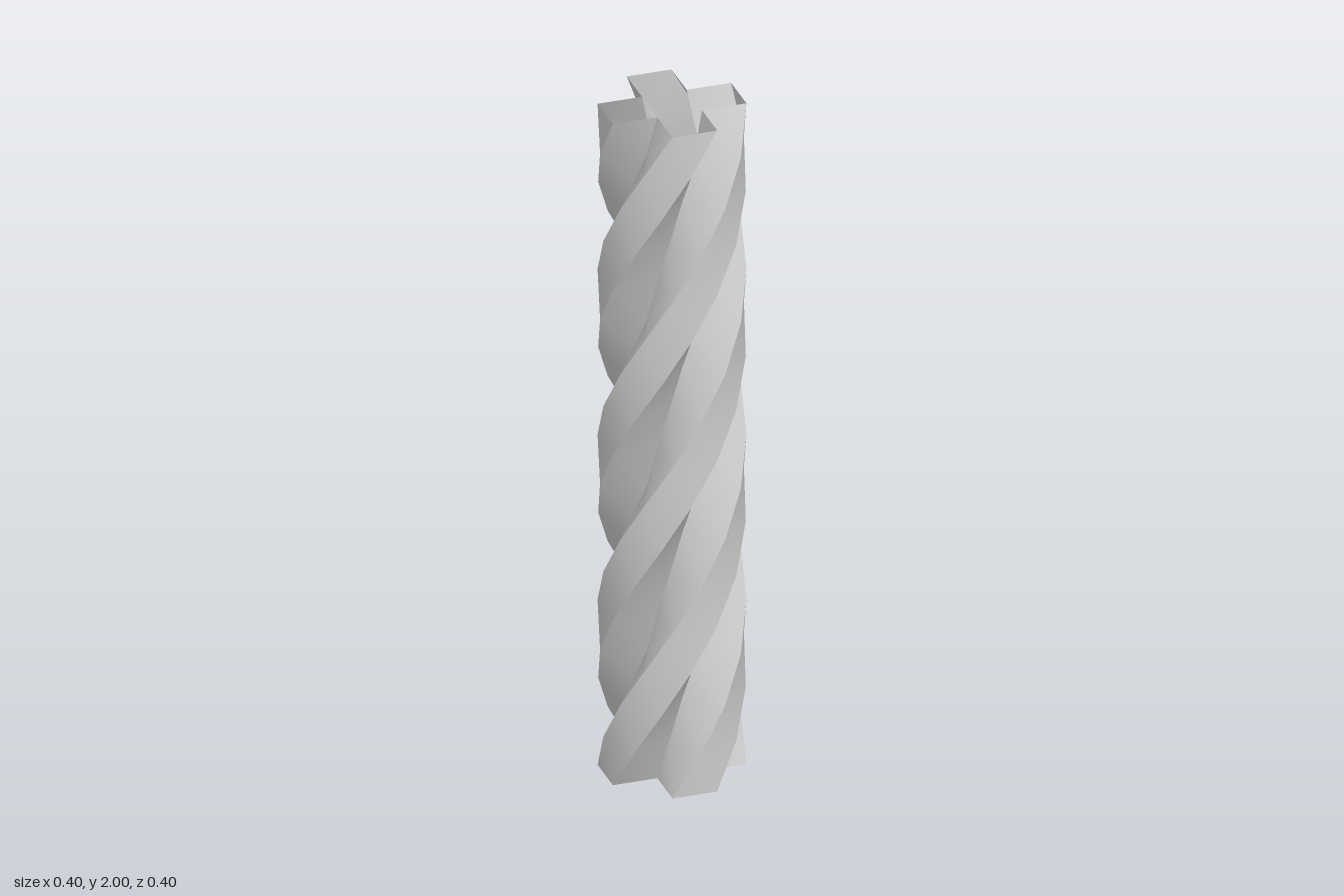
import * as THREE from 'three';

const HEIGHT = 2, STEPS = 16, TWIST = Math.PI * 2;
const ARM = 0.0635, REACH = 0.19; // half width and reach of each arm of the cross

// One smooth twisted face, swept upward from the profile edge a -> b ([x, z] points)
function twistedFace(a, b, material) {
  const positions = [], index = [];
  for (let i = 0; i <= STEPS; i++) {
    const t = i / STEPS, c = Math.cos(TWIST * t), s = Math.sin(TWIST * t);
    for (const [x, z] of [a, b]) positions.push(x * c + z * s, HEIGHT * t, z * c - x * s);
    if (i < STEPS) {
      const k = i * 2;
      index.push(k, k + 1, k + 2, k + 1, k + 3, k + 2);
    }
  }
  const geometry = new THREE.BufferGeometry();
  geometry.setAttribute('position', new THREE.Float32BufferAttribute(positions, 3));
  geometry.setIndex(index);
  geometry.computeVertexNormals();
  return new THREE.Mesh(geometry, material);
}

export function createModel() {
  const model = new THREE.Group();
  model.name = 'twistedColumn';
  const material = new THREE.MeshStandardMaterial({ color: 0xcccccc, side: THREE.DoubleSide });

  // Front arm of the cross-shaped profile, from inner corner to inner corner
  const arm = [[-ARM, ARM], [-ARM, REACH], [ARM, REACH], [ARM, ARM]];
  const faceNames = ['leftFlank', 'outerFace', 'rightFlank'];

  // Four identical arms, open at both ends
  for (let n = 0; n < 4; n++) {
    const rib = new THREE.Group();
    rib.name = `spiralRib${n + 1}`;
    rib.rotation.y = n * Math.PI / 2;
    faceNames.forEach((name, i) => {
      const face = twistedFace(arm[i], arm[i + 1], material);
      face.name = name;
      rib.add(face);
    });
    model.add(rib);
  }
  return model;
}
